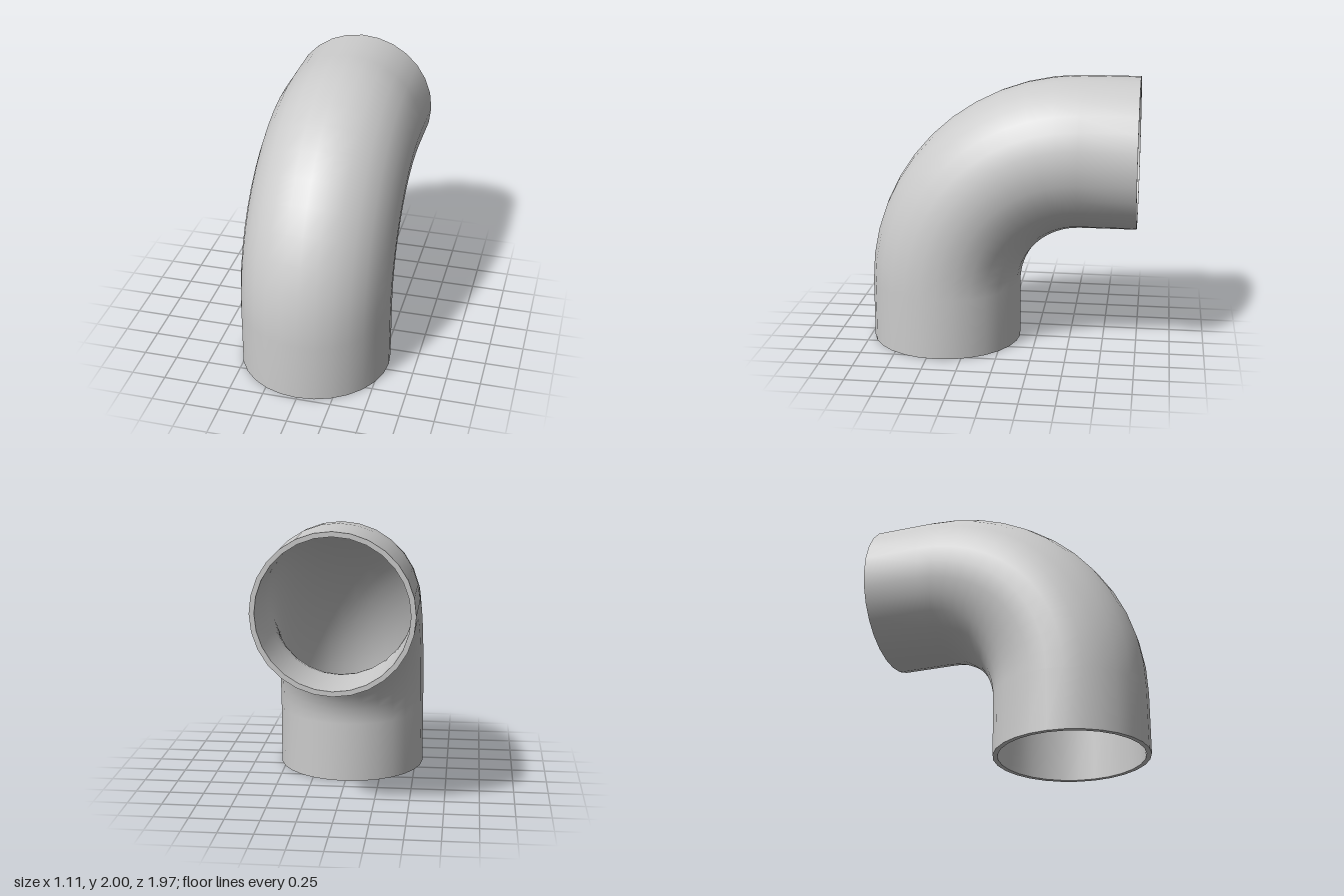
import * as THREE from 'three';

const SIDES = 28, BEND_STEPS = 12;
const OUTER = 0.555, INNER = 0.52;
const BEND_RADIUS = 1.0, BEND_Y = 0.445, BEND_Z = -0.57, END_Z = -0.985;

// Stations along the centre line: a point in the yz plane and the bend angle there
function makeStations() {
  const stations = [{ y: 0, z: BEND_Z + BEND_RADIUS, t: 0 }];
  for (let i = 0; i <= BEND_STEPS; i++) {
    const t = (i / BEND_STEPS) * Math.PI / 2;
    stations.push({ y: BEND_Y + BEND_RADIUS * Math.sin(t), z: BEND_Z + BEND_RADIUS * Math.cos(t), t });
  }
  stations.push({ y: BEND_Y + BEND_RADIUS, z: END_Z, t: Math.PI / 2 });
  return stations;
}

// Skin a list of circular rings, each a station with a radius
function skin(rings) {
  const positions = [], index = [];
  for (const [s, r] of rings) {
    for (let j = 0; j < SIDES; j++) {
      const a = (j / SIDES) * Math.PI * 2, out = r * Math.sin(a);
      positions.push(r * Math.cos(a), s.y + out * Math.sin(s.t), s.z + out * Math.cos(s.t));
    }
  }
  for (let i = 0; i < rings.length - 1; i++) {
    for (let j = 0; j < SIDES; j++) {
      const k = (j + 1) % SIDES;
      const a = i * SIDES + j, b = a + SIDES, c = i * SIDES + k, d = c + SIDES;
      index.push(a, b, c, b, d, c);
    }
  }
  const geometry = new THREE.BufferGeometry();
  geometry.setAttribute('position', new THREE.Float32BufferAttribute(positions, 3));
  geometry.setIndex(index);
  geometry.computeVertexNormals();
  return geometry;
}

export function createModel() {
  const group = new THREE.Group();
  group.name = 'pipeElbow';
  const material = new THREE.MeshStandardMaterial({ color: 0xcccccc });
  const stations = makeStations();
  const first = stations[0], last = stations[stations.length - 1];

  const add = (name, rings) => {
    const mesh = new THREE.Mesh(skin(rings), material);
    mesh.name = name;
    group.add(mesh);
  };

  // Outer and inner walls
  add('outerWall', stations.map(s => [s, OUTER]));
  add('innerWall', stations.map(s => [s, INNER]).reverse());

  // Flat rims closing the wall at both openings
  add('bottomRim', [[first, INNER], [first, OUTER]]);
  add('backRim', [[last, OUTER], [last, INNER]]);

  return group;
}
